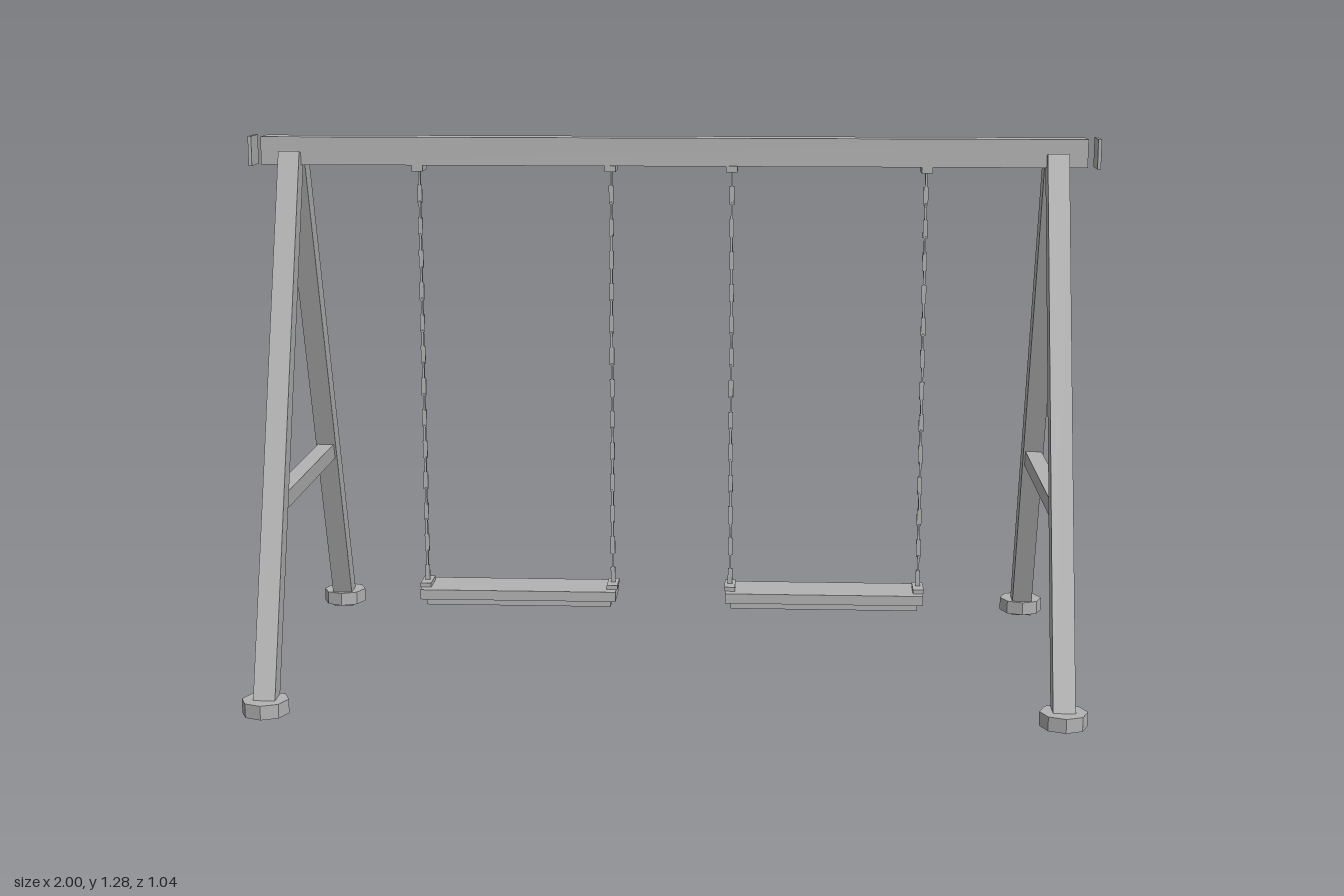
import * as THREE from 'three';

export function createModel() {
  const root = new THREE.Group();
  root.name = 'swingSet';
  const grey = new THREE.MeshStandardMaterial({ color: 0xb3b3b3 });
  grey.name = 'grey';
  grey.flatShading = true;

  function add(parent, name, geometry, x, y, z) {
    const mesh = new THREE.Mesh(geometry, grey);
    mesh.name = name;
    mesh.position.set(x, y, z);
    parent.add(mesh);
    return mesh;
  }
  const box = (parent, name, w, h, d, x, y, z) =>
    add(parent, name, new THREE.BoxGeometry(w, h, d), x, y, z);

  // Top beam
  box(root, 'topBeam', 1.94, 0.066, 0.066, 0, 1.252, 0);

  // A-frames with feet, cross bar and end plate
  const foot = { y: 0.011, z: 0.468 }, top = { y: 1.244, z: 0.026 };
  const dy = top.y - foot.y, dz = foot.z - top.z;
  for (const side of [-1, 1]) {
    const frame = new THREE.Group();
    frame.name = side > 0 ? 'leftFrame' : 'rightFrame';
    root.add(frame);
    for (const s of [-1, 1]) {
      const leg = box(frame, 'leg', 0.05, Math.hypot(dy, dz), 0.05,
        side * 0.9, (foot.y + top.y) / 2, s * (foot.z + top.z) / 2);
      leg.rotation.x = -s * Math.atan2(dz, dy);
      add(frame, 'foot', new THREE.CylinderGeometry(0.054, 0.054, 0.033, 8),
        side * 0.9, 0.028, s * foot.z);
    }
    box(frame, 'crossBar', 0.04, 0.039, 0.57, side * 0.9, 0.46, 0);
    box(frame, 'endPlate', 0.008, 0.07, 0.07, side * 0.996, 1.251, 0);
  }

  // Swings: seat in two layers, chains of alternating links, brackets
  const links = 26, low = 0.198, high = 1.207, pitch = (high - low) / links;
  for (const side of [-1, 1]) {
    const swing = new THREE.Group();
    swing.name = side > 0 ? 'leftSwing' : 'rightSwing';
    swing.position.x = side * 0.371;
    root.add(swing);
    box(swing, 'seat', 0.476, 0.024, 0.118, 0, 0.179, 0);
    box(swing, 'seatBase', 0.45, 0.017, 0.086, 0, 0.1585, 0);
    for (const s of [-1, 1]) {
      const x = s * 0.228;
      box(swing, 'seatBracket', 0.026, 0.01, 0.07, x, 0.196, 0);
      box(swing, 'beamBracket', 0.026, 0.015, 0.07, x, 1.2125, 0);
      for (let i = 0; i < links; i++) {
        const link = box(swing, 'chainLink', 0.011, pitch * 1.1, 0.005,
          x, low + (i + 0.5) * pitch, 0);
        if (i % 2) link.rotation.y = Math.PI / 2;
      }
    }
  }
  return root;
}
